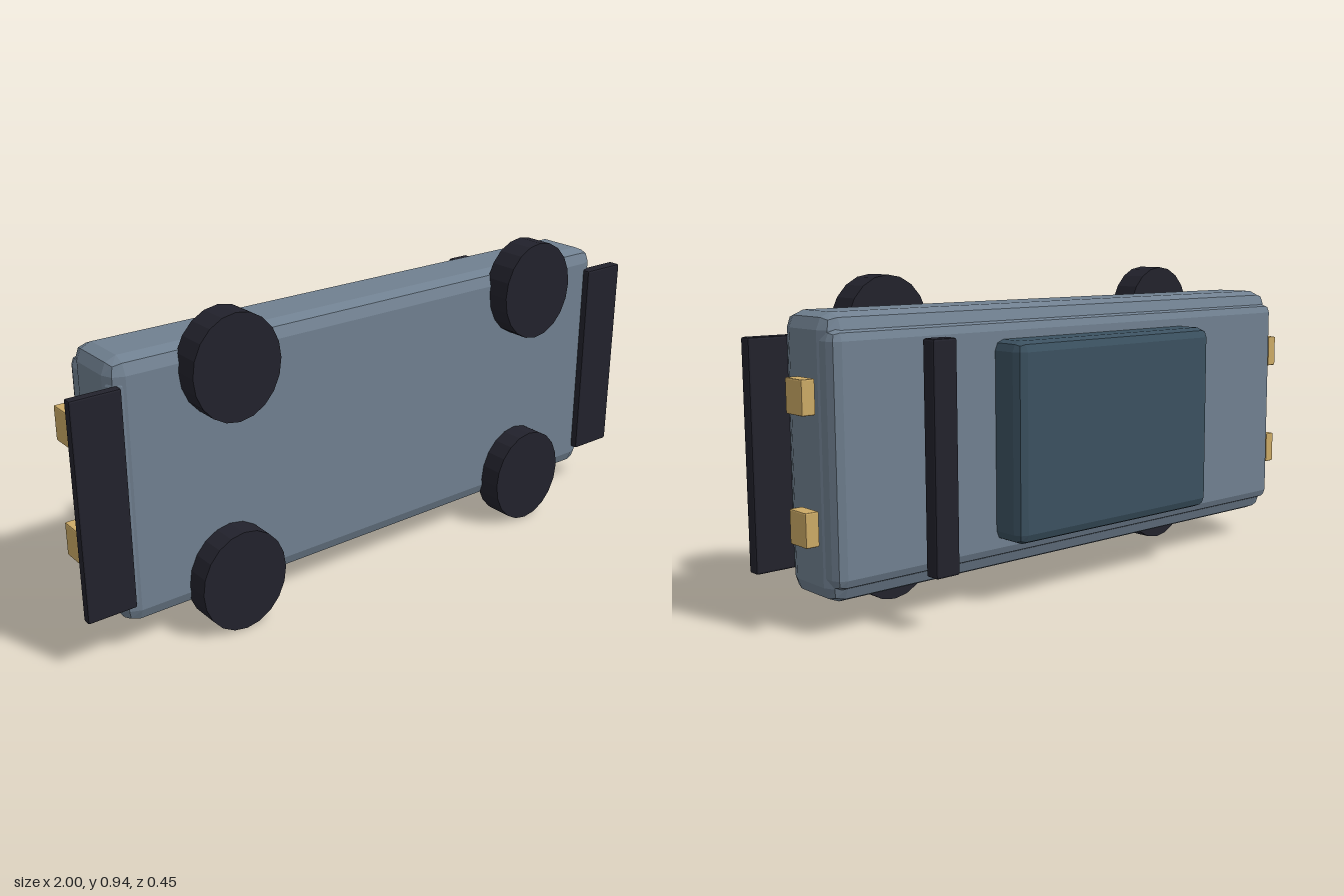
import * as THREE from 'three';
import { RoundedBoxGeometry } from 'three/addons/geometries/RoundedBoxGeometry.js';

const material = (name, color) => {
  const m = new THREE.MeshStandardMaterial({ color });
  m.name = name;
  return m;
};

export function createModel() {
  const group = new THREE.Group();
  const paint = material('slate paint', 0x708090);
  const glass = material('dark teal glass', 0x3b5160);
  const rubber = material('black rubber', 0x22222c);
  const amber = material('amber lamp', 0xccaa66);

  // Faceted bevelled box given by its [min, max] extents
  const box = (name, mat, [x0, x1], [y0, y1], [z0, z1], bevel) => {
    const geo = new RoundedBoxGeometry(x1 - x0, y1 - y0, z1 - z0, 1, bevel);
    geo.computeVertexNormals();
    const mesh = new THREE.Mesh(geo, mat);
    mesh.name = name;
    mesh.position.set((x0 + x1) / 2, (y0 + y1) / 2, (z0 + z1) / 2);
    group.add(mesh);
  };

  // Body: wide lower hull and a narrower deck (the vehicle lies on its side, wheels towards +z)
  box('hull', paint, [-0.88, 0.895], [0.087, 0.853], [-0.068, 0.155], 0.045);
  box('deck', paint, [-0.877, 0.892], [0.128, 0.811], [-0.09, 0.152], 0.03);
  box('cabin', glass, [-0.43, 0.363], [0.18, 0.757], [-0.195, -0.05], 0.03);

  // Spoiler bar and bumper plates
  box('spoiler', rubber, [0.6, 0.677], [0.153, 0.785], [-0.225, -0.178], 0.006);
  box('frontSplitter', rubber, [-1, -0.855], [0.155, 0.785], [0.14, 0.168], 0.005);
  box('rearSkirt', rubber, [0.85, 1], [0.153, 0.785], [0.137, 0.177], 0.006);

  // Lamps, one pair at each end
  for (const y of [0.298, 0.641]) {
    box('headlight', amber, [-0.942, -0.905], [y - 0.05, y + 0.05], [-0.055, 0.037], 0.004);
    box('tailLight', amber, [0.916, 0.956], [y - 0.047, y + 0.047], [-0.045, 0.035], 0.004);
  }

  // Slightly oval wheels
  const wheelGeo = new THREE.CylinderGeometry(1, 1, 1, 20)
    .rotateX(Math.PI / 2).scale(0.137, 0.152, 0.088).toNonIndexed();
  wheelGeo.computeVertexNormals();
  for (const x of [-0.547, 0.562]) {
    for (const y of [0.152, 0.785]) {
      const wheel = new THREE.Mesh(wheelGeo, rubber);
      wheel.name = 'wheel';
      wheel.position.set(x, y, 0.182);
      group.add(wheel);
    }
  }
  return group;
}
